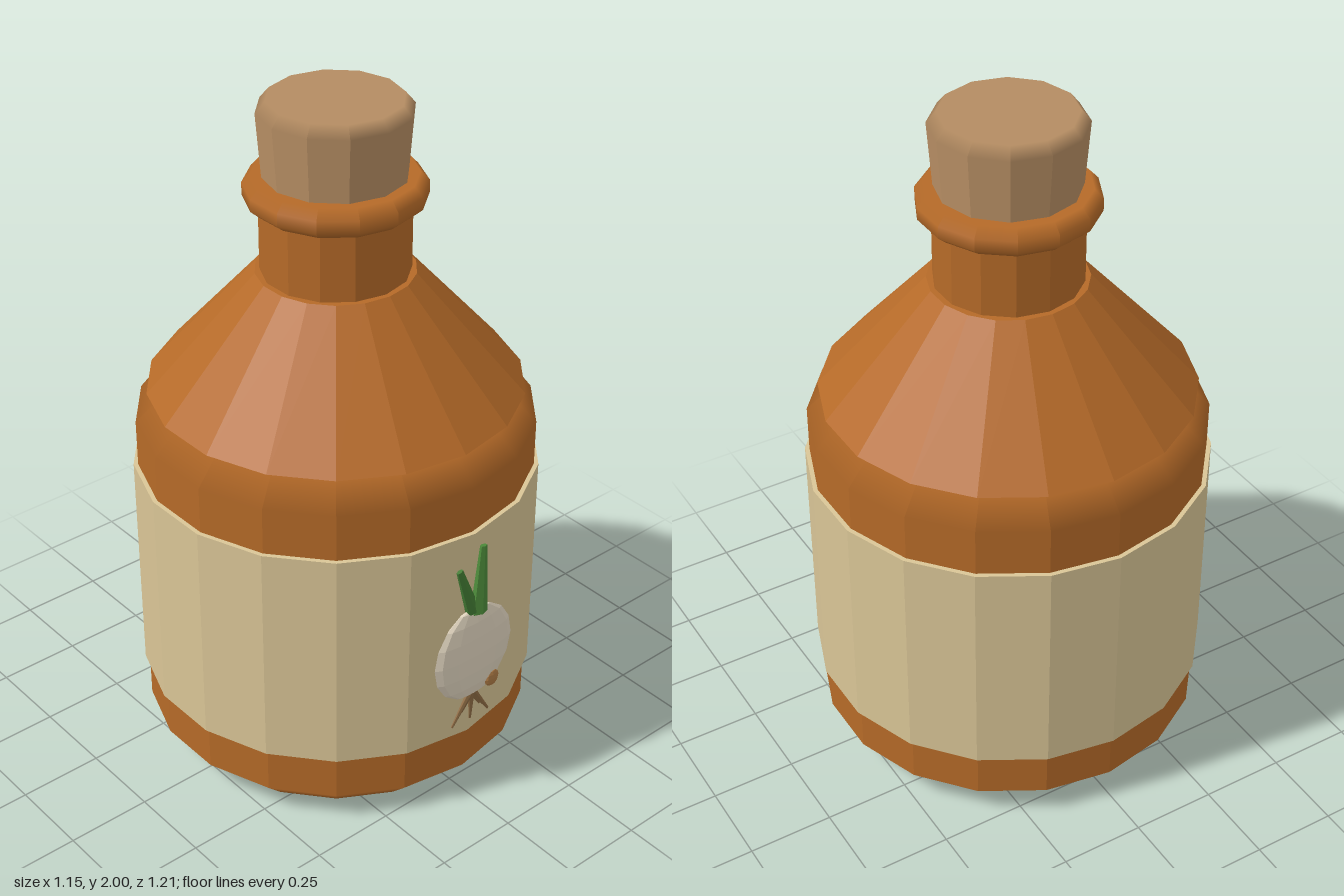
import * as THREE from 'three';

const CZ = -0.02; // bottle axis
const BADGE_Z = 0.577; // depth of the onion relief

function add(parent, name, geometry, color, flatShading = false) {
  const mesh = new THREE.Mesh(geometry, new THREE.MeshStandardMaterial({ color, flatShading }));
  mesh.name = name;
  parent.add(mesh);
  return mesh;
}

// Lathe with flat sides but softly shaded bevels.
// Each profile point, bottom to top: [radius, y, outward normal, upward normal]
function facetedLathe(profile, sides) {
  const positions = [], normals = [];
  const step = (Math.PI * 2) / sides;
  for (let s = 0; s < sides; s++) {
    const a = s * step, b = a + step, mid = a + step / 2;
    const put = ([r, y, nr, ny], angle) => {
      const l = Math.hypot(nr, ny);
      positions.push(r * Math.sin(angle), y, r * Math.cos(angle));
      normals.push((nr / l) * Math.sin(mid), ny / l, (nr / l) * Math.cos(mid));
    };
    for (let i = 0; i < profile.length - 1; i++) {
      const p = profile[i], q = profile[i + 1];
      if (p[0] > 0) { put(p, a); put(p, b); put(q, b); }
      if (q[0] > 0) { put(p, a); put(q, b); put(q, a); }
    }
  }
  const geometry = new THREE.BufferGeometry();
  geometry.setAttribute('position', new THREE.Float32BufferAttribute(positions, 3));
  geometry.setAttribute('normal', new THREE.Float32BufferAttribute(normals, 3));
  return geometry;
}

// Tapered rod between two points, thin in z
function rod(parent, name, from, to, r0, r1, color, depth) {
  const a = new THREE.Vector3(...from), b = new THREE.Vector3(...to);
  const dir = b.clone().sub(a);
  const geometry = new THREE.CylinderGeometry(r1, r0, dir.length(), 6);
  geometry.scale(1, 1, depth);
  const mesh = add(parent, name, geometry, color, true);
  mesh.position.copy(a).add(b).multiplyScalar(0.5);
  mesh.quaternion.setFromUnitVectors(new THREE.Vector3(0, 1, 0), dir.normalize());
  return mesh;
}

export function createModel() {
  const model = new THREE.Group();
  model.name = 'bottle';
  const glass = 0xb56a28, cork = 0xb48c62, paper = 0xd9c596;

  const vessel = new THREE.Group();
  vessel.name = 'vessel';
  vessel.position.z = CZ;
  model.add(vessel);

  // Bevelled body
  add(vessel, 'body', facetedLathe([
    [0, 0, 0, -1], [0.485, 0, 0, -1], [0.573, 0.09, 1, 0],
    [0.573, 1.06, 1, 0], [0.485, 1.15, 0, 1], [0, 1.15, 0, 1],
  ], 18), glass);

  // Paper label wrapped round the body
  const label = add(vessel, 'label', new THREE.CylinderGeometry(0.586, 0.586, 0.69, 18), paper, true);
  label.position.y = 0.575;

  // Overhanging conical shoulder
  const shoulder = add(vessel, 'shoulder', new THREE.CylinderGeometry(0.225, 0.538, 0.35, 18), glass, true);
  shoulder.position.y = 1.325;

  // Neck and rounded lip
  const neck = add(vessel, 'neck', new THREE.CylinderGeometry(0.21, 0.21, 0.26, 14), glass, true);
  neck.position.y = 1.62;
  add(vessel, 'lip', facetedLathe([
    [0, 1.7, 0, -1], [0.228, 1.7, 0, -1], [0.253, 1.722, 1, -0.4],
    [0.253, 1.758, 1, 0.4], [0.228, 1.785, 0, 1], [0, 1.785, 0, 1],
  ], 14), glass);

  // Cork with a chamfered top
  add(vessel, 'cork', facetedLathe([
    [0, 1.77, 0, -1], [0.2, 1.77, 0, -1], [0.2, 1.77, 1, 0],
    [0.215, 1.968, 1, 0], [0.188, 2, 0, 1], [0, 2, 0, 1],
  ], 12), cork);

  // Onion relief on the label
  const onion = new THREE.Group();
  onion.name = 'onion';
  onion.position.z = BADGE_Z;
  model.add(onion);

  const bulb = add(onion, 'bulb', new THREE.SphereGeometry(1, 12, 8), 0xe2d6c0, true);
  bulb.scale.set(0.146, 0.157, 0.023);
  bulb.position.y = 0.525;

  const spot = add(onion, 'spot', new THREE.SphereGeometry(1, 8, 6), 0xb07c46, true);
  spot.scale.set(0.027, 0.027, 0.008);
  spot.position.set(0.068, 0.402, 0.011);

  rod(onion, 'leftLeaf', [0.012, 0.66, 0.003], [0.026, 0.875, -0.003], 0.03, 0.012, 0x4c8a3a, 0.6);
  rod(onion, 'rightLeaf', [-0.008, 0.67, 0], [-0.06, 0.825, -0.004], 0.024, 0.011, 0x437c34, 0.6);

  for (const [i, x] of [-0.07, -0.035, 0, 0.035, 0.07].entries()) {
    const y = i % 2 ? 0.32 : 0.282;
    rod(onion, 'root' + (i + 1), [x * 0.1, 0.378, 0], [x, y, -0.002], 0.011, 0.004, 0x8e6c44, 0.7);
  }

  return model;
}
